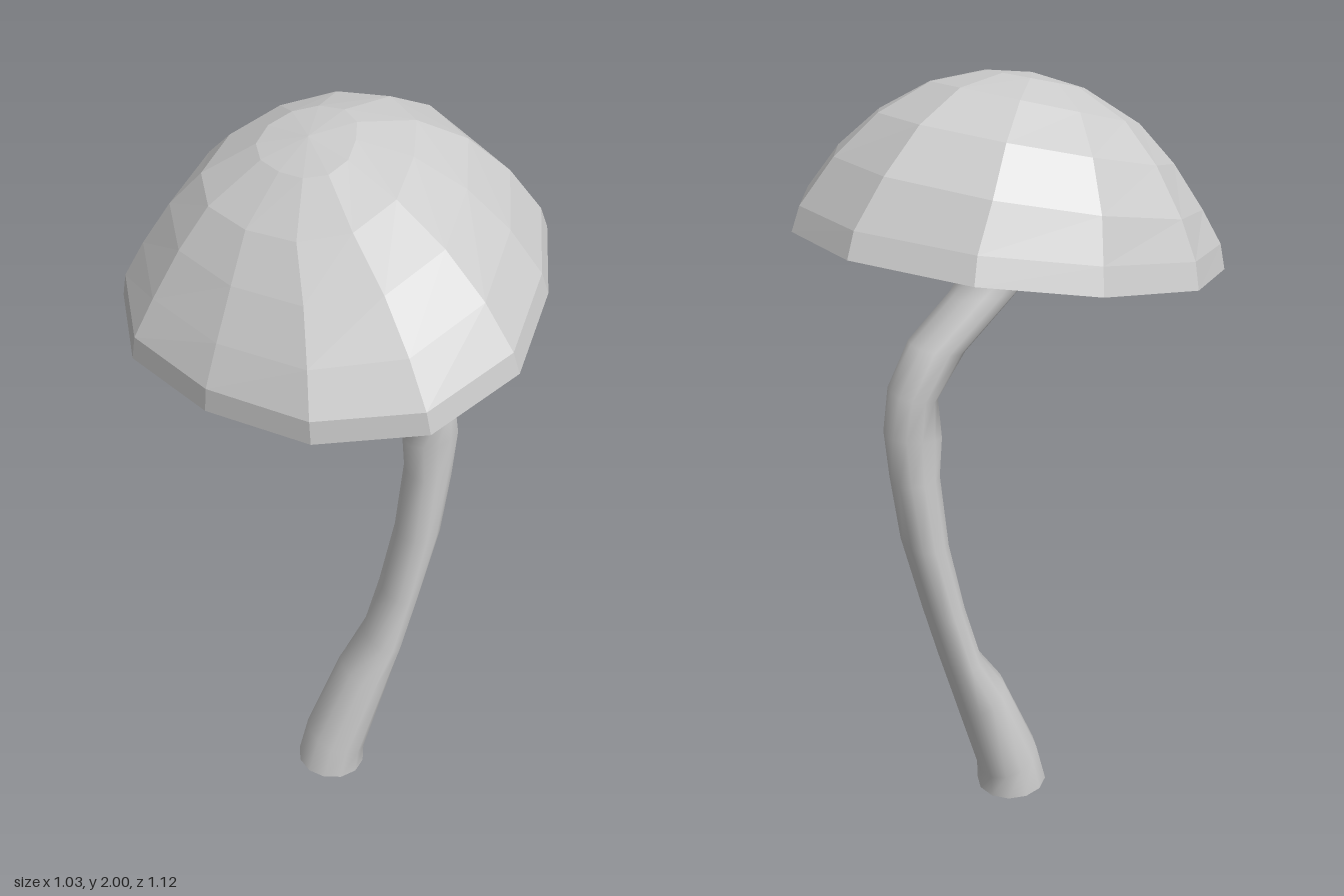
import * as THREE from 'three';

// Skin a stack of closed rings (arrays of [x, y, z]) running +x to +z
function loft(name, rings, flat) {
  const n = rings[0].length, index = [];
  for (let k = 0; k < rings.length - 1; k++) {
    for (let i = 0; i < n; i++) {
      const j = (i + 1) % n, a = k * n + i, b = k * n + j;
      index.push(a, a + n, b, b, a + n, b + n);
    }
  }
  const geometry = new THREE.BufferGeometry();
  geometry.setAttribute('position', new THREE.Float32BufferAttribute(rings.flat(2), 3));
  geometry.setIndex(index);
  geometry.computeVertexNormals();
  const mesh = new THREE.Mesh(geometry,
    new THREE.MeshStandardMaterial({ color: 0xcccccc, flatShading: flat }));
  mesh.name = name;
  return mesh;
}

// Egg-shaped rim outline, narrower at the front
const RIM = [[0.515, -0.03], [0.41, 0.22], [0.24, 0.46], [0, 0.56], [-0.235, 0.47], [-0.41, 0.25],
  [-0.515, -0.02], [-0.48, -0.285], [-0.28, -0.49], [0, -0.56], [0.27, -0.49], [0.475, -0.285]];

// The rim outline fitted to a box, at height y, tilted along x and z
function capRing([x0, x1, z0, z1, y, tiltX, tiltZ]) {
  const cx = (x0 + x1) / 2, cz = (z0 + z1) / 2;
  return RIM.map(([x, z]) => {
    const dx = x / 0.515 * (x1 - x0) / 2, dz = z / 0.56 * (z1 - z0) / 2;
    return [cx + dx, y + tiltX * dx + tiltZ * dz, cz + dz];
  });
}

export function createModel() {
  const model = new THREE.Group();

  // Cap: faceted lopsided dome, rim to crown
  const rim = [-0.515, 0.515, -0.56, 0.56, 1.588, 0.157, -0.03];
  model.add(loft('cap', [
    rim,
    [-0.507, 0.492, -0.54, 0.55, 1.645, 0.16, -0.04],
    [-0.455, 0.41, -0.5, 0.48, 1.74, 0.21, -0.05],
    [-0.385, 0.305, -0.42, 0.37, 1.838, 0.24, -0.08],
    [-0.31, 0.18, -0.31, 0.235, 1.915, 0.27, -0.1],
    [-0.185, 0.04, -0.185, 0.09, 1.968, 0.25, -0.1],
    [-0.075, -0.075, -0.05, -0.05, 1.982, 0, 0],
  ].map(capRing), true));

  // Underside: sloping gill surface and a shallow ceiling around the stem
  const inner = [-0.27, 0.23, -0.29, 0.25, 1.72, 0.157, -0.03];
  model.add(loft('gills', [inner, rim].map(capRing), false));
  model.add(loft('capCeiling', [[-0.02, -0.02, -0.03, -0.03, 1.75, 0, 0], inner].map(capRing), true));

  // Stem: each station is left x, y, right x, y and half depth
  const stations = [
    [-0.135, 0.015, 0.055, 0.003, 0.097],
    [-0.105, 0.13, 0.055, 0.06, 0.096],
    [-0.005, 0.36, 0.12, 0.28, 0.09],
    [0.065, 0.46, 0.165, 0.44, 0.085],
    [0.11, 0.62, 0.21, 0.6, 0.08],
    [0.15, 0.81, 0.268, 0.82, 0.074],
    [0.17, 1.01, 0.295, 1.0, 0.068],
    [0.16, 1.11, 0.31, 1.13, 0.063],
    [0.175, 1.22, 0.29, 1.24, 0.08],
    [0.1, 1.33, 0.235, 1.355, 0.078],
    [-0.055, 1.48, 0.125, 1.46, 0.082],
    [-0.09, 1.565, 0.06, 1.55, 0.085],
    [-0.095, 1.76, 0.06, 1.76, 0.085],
  ];
  const sides = 12;
  model.add(loft('stem', stations.map(([lx, ly, rx, ry, depth]) =>
    Array.from({ length: sides }, (_, i) => {
      const a = i / sides * Math.PI * 2, t = (1 + Math.cos(a)) / 2;
      return [lx + (rx - lx) * t, ly + (ry - ly) * t, -0.035 + depth * Math.sin(a)];
    })), false));

  return model;
}
